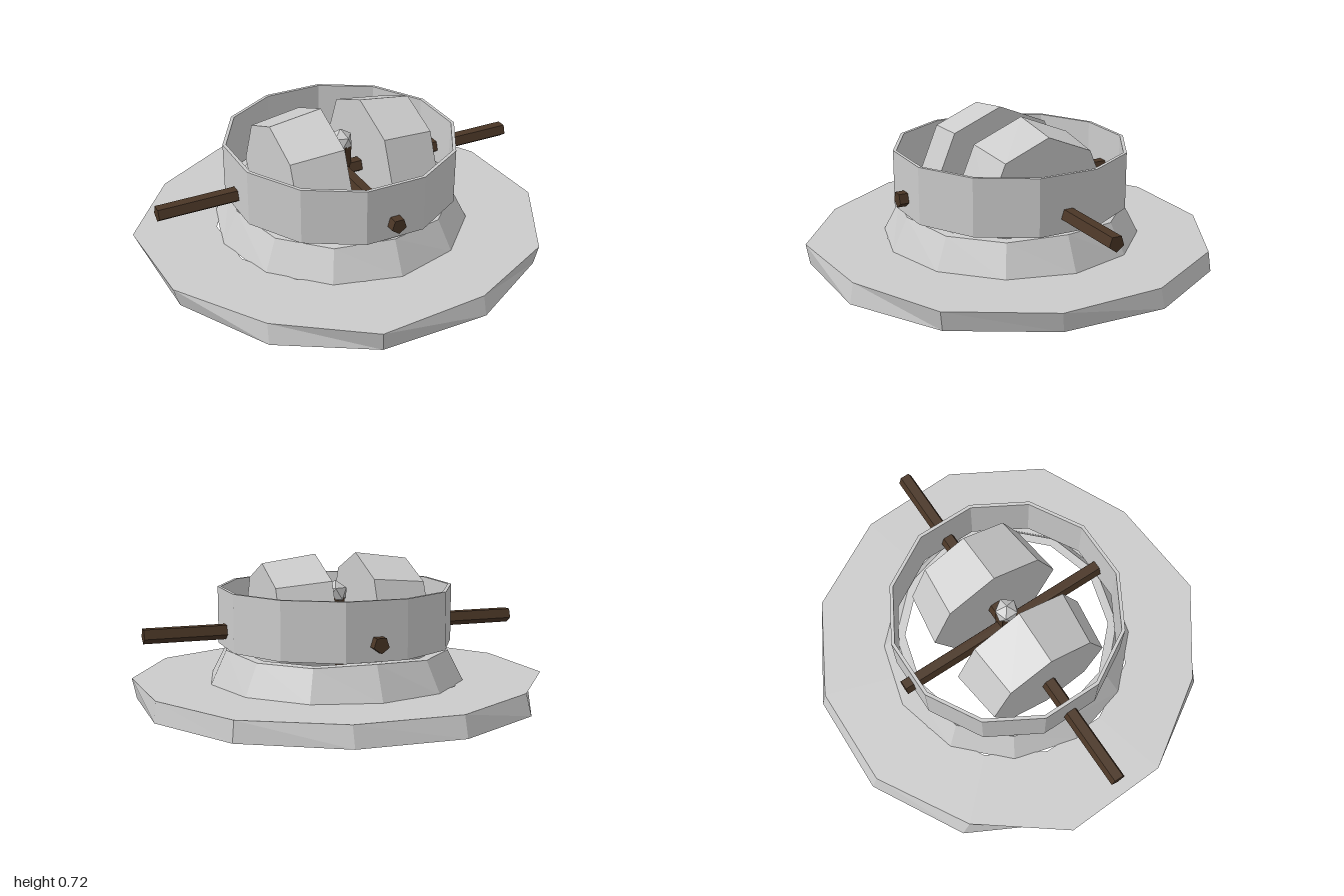
import * as THREE from 'three';

const grey = new THREE.MeshStandardMaterial({ color: 0xcccccc, flatShading: true });
const sheet = new THREE.MeshStandardMaterial({ color: 0xcccccc, flatShading: true, side: THREE.DoubleSide });
const brown = new THREE.MeshStandardMaterial({ color: 0x4a3626, flatShading: true });

const CX = 0.017; // the mechanism sits slightly off the middle
const HUB_Y = 0.36; // height of the axles

// Uneven rims of the base as [x, z], from the front towards +x
const LOWER_RIM = [
  [0.28, 0.965], [0.725, 0.71], [0.98, 0.255], [0.99, -0.265], [0.74, -0.715], [0.28, -0.98],
  [-0.24, -0.99], [-0.695, -0.735], [-0.95, -0.25], [-0.95, 0.25], [-0.7, 0.71], [-0.265, 0.97],
];
const UPPER_RIM = [
  [0.275, 0.945], [0.74, 0.725], [1.0, 0.27], [0.98, -0.25], [0.73, -0.705], [0.28, -0.95],
  [-0.24, -0.955], [-0.69, -0.69], [-1.0, -0.28], [-0.98, 0.255], [-0.695, 0.685], [-0.275, 0.985],
];

export function createModel() {
  const model = new THREE.Group();

  const add = (name, geometry, material, x = CX, y = 0, z = 0) => {
    const mesh = new THREE.Mesh(geometry, material);
    mesh.name = name;
    mesh.position.set(x, y, z);
    model.add(mesh);
    return mesh;
  };

  // Twelve-sided surface around y from a [radius, height] profile
  const lathe = (profile, turn) =>
    new THREE.LatheGeometry(profile.map(([r, y]) => new THREE.Vector2(r, y)), 12, turn);
  const ring = (profile, turn) => lathe([...profile, profile[0]], turn);

  // Wide base: a thin outer wall and top, open underneath
  const base = lathe([[1, 0], [1, 0.1], [0.62, 0.1]], Math.PI / 12);
  const rims = base.attributes.position;
  for (let i = 0; i <= 12; i++) {
    const [lx, lz] = LOWER_RIM[i % 12];
    const [ux, uz] = UPPER_RIM[i % 12];
    rims.setXYZ(i * 3, lx, 0, lz);
    rims.setXYZ(i * 3 + 1, ux, 0.1, uz);
  }
  add('base', base, sheet, 0);

  // Tapered collar, its top edge rising at four corners
  const collar = ring([[0.6, 0.095], [0.645, 0.095], [0.565, 0.25], [0.52, 0.253]], 0);
  const edge = collar.attributes.position;
  for (let i = 0; i <= 12; i += 3) {
    for (const j of [2, 3]) edge.setY(i * 5 + j, 0.265);
  }
  add('collar', collar, grey);

  // Thin open drum around the wheels
  add('drum', ring([[0.568, 0.276], [0.585, 0.276], [0.585, 0.56], [0.568, 0.56]], Math.PI / 12), grey);

  // Pair of eight-sided wheels, narrowing outwards
  for (const side of [-1, 1]) {
    const wheel = add(side > 0 ? 'leftWheel' : 'rightWheel',
      new THREE.CylinderGeometry(0.323, 0.36, 0.272, 8), grey, CX + side * 0.243, HUB_Y);
    wheel.rotation.z = -side * Math.PI / 2;
  }

  // Crossed axles, each with five sides and one edge on top
  const axle = (length) => new THREE.CylinderGeometry(0.04, 0.04, length, 5).rotateX(-Math.PI / 2).rotateZ(Math.PI);
  add('longAxle', axle(1.935).rotateY(Math.PI / 2), brown, CX, HUB_Y);
  add('shortAxle', axle(1.22), brown, 0.012, HUB_Y);

  // Upright post with a faceted knob, one point of the knob upwards
  add('post', new THREE.CylinderGeometry(0.055, 0.055, 0.5, 5), brown, CX, 0.25);
  add('knob', new THREE.IcosahedronGeometry(0.064, 0).rotateZ(-0.5536), grey, CX, 0.521);

  return model;
}
